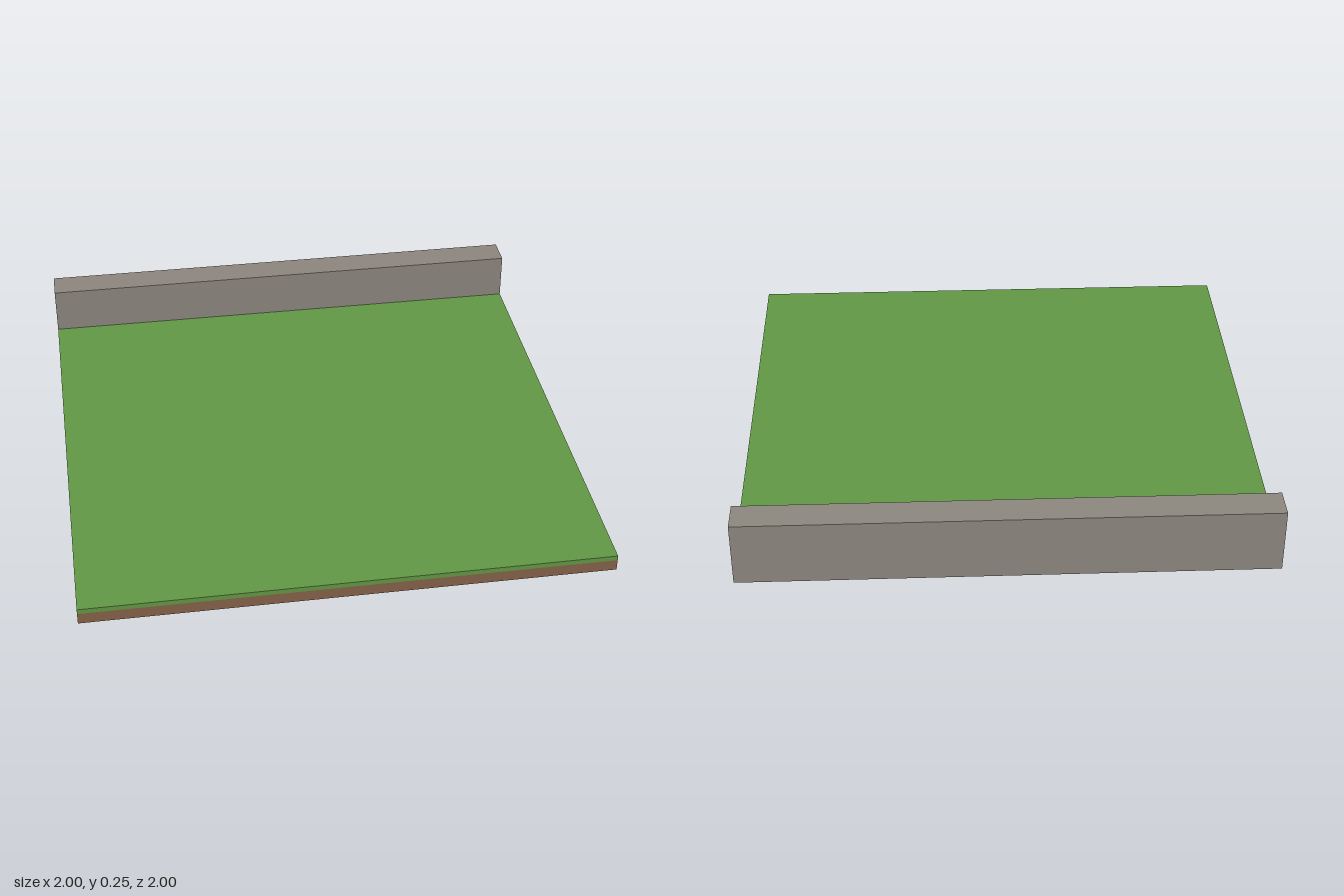
import * as THREE from 'three';

export function createModel() {
  const group = new THREE.Group();
  const mat = (name, color) =>
    new THREE.MeshStandardMaterial({ name, color, side: THREE.DoubleSide });
  const grass = mat('grass green', 0x629845);
  const soil = mat('soil brown', 0x86634a);
  const stone = mat('stone grey', 0x8c867e);

  const W = 2, FRONT = 1, BACK = -1, CURB = -0.875; // plan limits
  const SOIL = 0.045, TOP = 0.065, H = 0.252;       // heights

  function panel(name, material, w, h, pos, rx = 0, ry = 0) {
    const mesh = new THREE.Mesh(new THREE.PlaneGeometry(w, h), material);
    mesh.name = name;
    mesh.position.set(...pos);
    mesh.rotation.set(rx, ry, 0);
    group.add(mesh);
  }

  const lawn = FRONT - CURB, lawnZ = (FRONT + CURB) / 2;
  const curb = CURB - BACK, curbZ = (CURB + BACK) / 2;

  // Lawn surface, open underneath
  panel('lawnTop', grass, W, lawn, [0, TOP, lawnZ], -Math.PI / 2);

  // Banded rim: soil below, turf edge above
  for (const [name, material, y0, y1] of [['soil', soil, 0, SOIL], ['turf', grass, SOIL, TOP]]) {
    const h = y1 - y0, y = (y0 + y1) / 2;
    panel(name + 'Front', material, W, h, [0, y, FRONT]);
    for (const s of [1, -1])
      panel(name + (s > 0 ? 'Left' : 'Right'), material, lawn, h, [s, y, lawnZ], 0, s * Math.PI / 2);
  }

  // Raised stone curb along the back, open underneath
  panel('curbTop', stone, W, curb, [0, H, curbZ], -Math.PI / 2);
  panel('curbFront', stone, W, H - TOP, [0, (H + TOP) / 2, CURB]);
  panel('curbBack', stone, W, H, [0, H / 2, BACK], 0, Math.PI);
  for (const s of [1, -1])
    panel(s > 0 ? 'curbLeftEnd' : 'curbRightEnd', stone, curb, H, [s, H / 2, curbZ], 0, s * Math.PI / 2);

  return group;
}
